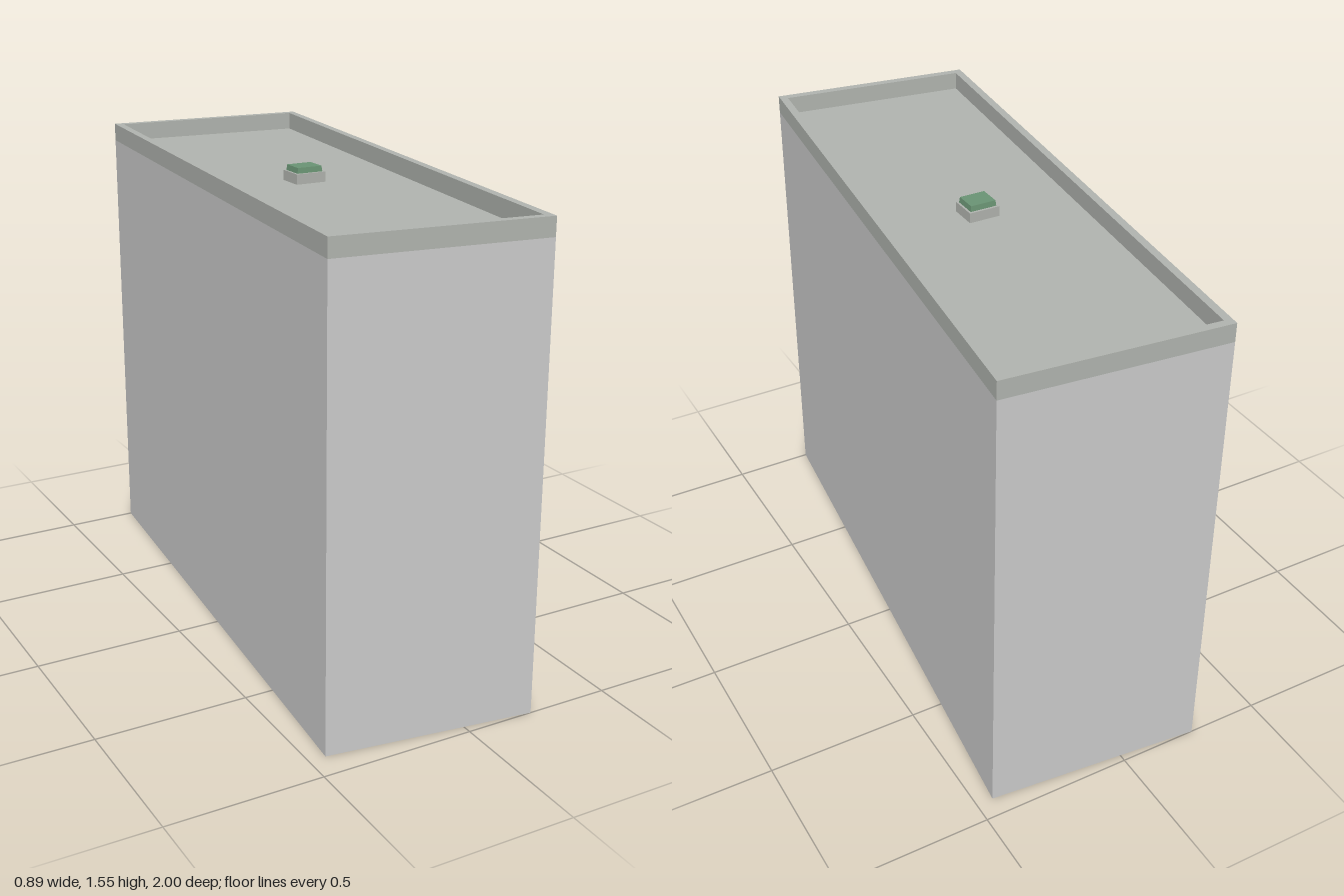
import * as THREE from 'three';

const mat = (color) => new THREE.MeshStandardMaterial({ color, flatShading: true });
const grey = mat(0xcccccc), cap = mat(0xb1b4af), dark = mat(0x555555);
const glass = mat(0x7fa9ba), green = mat(0x6a9474);

// Plan corners [x, z] of the slightly skewed block
const PLAN = [[-0.26, -1], [0.445, -0.935], [0.225, 1], [-0.445, 0.91]];
const HEIGHT = 1.55, DECK = 1.49, FLOORS = 6;

// Move every edge of the plan inwards by d and intersect neighbouring edges
function inset(d) {
  const edges = PLAN.map(([x, z], i) => {
    const [x2, z2] = PLAN[(i + 1) % 4];
    const l = Math.hypot(x2 - x, z2 - z), ux = (x2 - x) / l, uz = (z2 - z) / l;
    return { x: x - uz * d, z: z + ux * d, ux, uz };
  });
  return edges.map((b, i) => {
    const a = edges[(i + 3) % 4];
    const t = ((b.x - a.x) * b.uz - (b.z - a.z) * b.ux) / (a.ux * b.uz - a.uz * b.ux);
    return [a.x + a.ux * t, a.z + a.uz * t];
  });
}

const points = (plan) => plan.map(([x, z]) => new THREE.Vector2(x, -z));

// Upright prism over a plan, optionally hollow (the hole winds the other way)
function prism(name, outer, inner, y0, y1, material) {
  const shape = new THREE.Shape(points(outer));
  if (inner) shape.holes.push(new THREE.Path(points(inner).reverse()));
  const geo = new THREE.ExtrudeGeometry(shape, { depth: y1 - y0, bevelEnabled: false });
  geo.rotateX(-Math.PI / 2).translate(0, y0, 0);
  const mesh = new THREE.Mesh(geo, material);
  mesh.name = name;
  return mesh;
}

function box(parent, name, [w, h, d], [x, y, z], material) {
  const mesh = new THREE.Mesh(new THREE.BoxGeometry(w, h, d), material);
  mesh.name = name;
  mesh.position.set(x, y, z);
  parent.add(mesh);
}

function makeWindow() {
  const g = new THREE.Group();
  g.name = 'window';
  box(g, 'pane', [0.13, 0.15, 0.006], [0, 0, 0.003], dark);
  for (const s of [-1, 1]) {
    box(g, 'jamb', [0.008, 0.16, 0.012], [s * 0.068, 0, 0.006], grey);
    box(g, 'rail', [0.144, 0.008, 0.012], [0, s * 0.078, 0.006], grey);
  }
  return g;
}

function makeBalcony() {
  const g = new THREE.Group();
  g.name = 'balcony';
  box(g, 'slab', [0.17, 0.012, 0.066], [0, 0, 0.033], grey);
  box(g, 'frontGlass', [0.17, 0.05, 0.005], [0, 0.031, 0.063], glass);
  for (const s of [-1, 1]) box(g, 'sideGlass', [0.005, 0.05, 0.06], [s * 0.082, 0.031, 0.03], glass);
  return g;
}

// Inner facade on one wall: bays of windows, balconies on the upper floors
function makeFacade([x, z], [x2, z2], bays, balconyBays) {
  const g = new THREE.Group();
  g.name = 'innerFacade';
  g.position.set(x, 0, z);
  g.rotation.y = Math.atan2(z - z2, x2 - x);
  const bay = Math.hypot(x2 - x, z2 - z) / bays;
  for (let i = 0; i < bays; i++) {
    const cx = (i + 0.5) * bay;
    box(g, 'baseVent', [0.1, 0.005, 0.004], [cx, 0.025, 0.002], dark);
    for (let f = 0; f < FLOORS; f++) {
      const win = makeWindow();
      win.position.set(cx, 0.14 + f * 0.235, 0);
      g.add(win);
      if (f > 0 && balconyBays.includes(i)) {
        const balcony = makeBalcony();
        balcony.position.set(cx, 0.055 + f * 0.235, 0);
        g.add(balcony);
      }
    }
  }
  return g;
}

export function createModel() {
  const model = new THREE.Group();
  model.name = 'building';

  // Hollow walls, roof deck and parapet
  const inner = inset(0.014), rim = inset(0.026);
  model.add(prism('walls', PLAN, inner, 0, DECK, grey));
  model.add(prism('parapet', PLAN, rim, DECK, HEIGHT, cap));
  model.add(prism('roofDeck', inset(0.005), null, DECK - 0.02, DECK + 0.001, cap));

  // Windows and balconies on the inside of the four walls
  for (let i = 0; i < 4; i++) {
    const long = i % 2 === 1;
    model.add(makeFacade(inner[i], inner[(i + 1) % 4], long ? 8 : 3, long ? [1, 2, 4, 5] : [1, 2]));
  }

  // Roof hatch: curb with a bevelled green skylight
  const hatch = new THREE.Group();
  hatch.name = 'roofHatch';
  hatch.position.set(-0.012, DECK, -0.008);
  box(hatch, 'curb', [0.104, 0.034, 0.092], [0, 0.017, 0], cap);
  const lid = new THREE.CylinderGeometry(0.95 * Math.SQRT1_2, Math.SQRT1_2, 1, 4);
  lid.rotateY(Math.PI / 4).scale(0.09, 0.018, 0.076);
  const skylight = new THREE.Mesh(lid, green);
  skylight.name = 'skylight';
  skylight.position.y = 0.043;
  hatch.add(skylight);
  model.add(hatch);

  return model;
}
